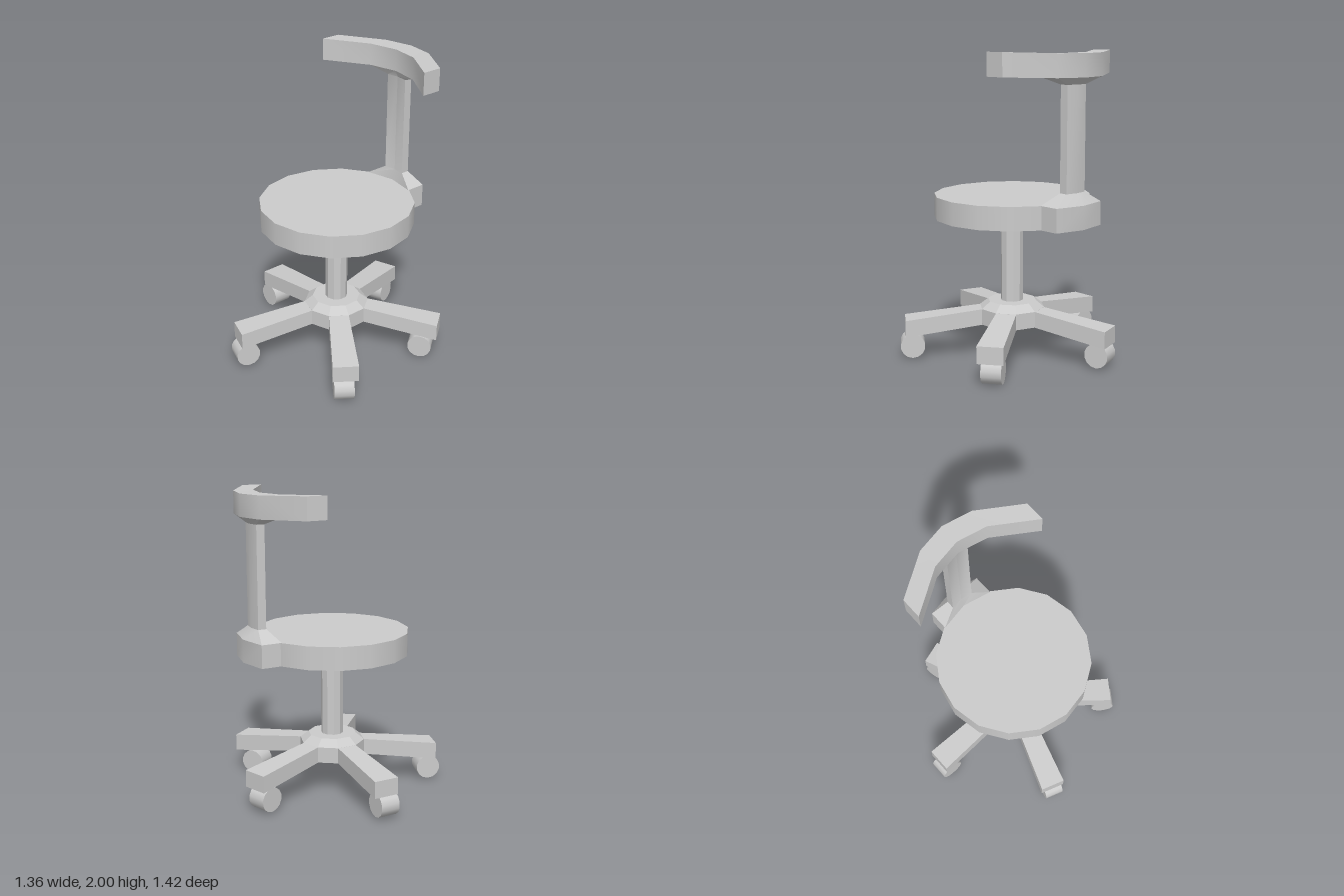
import * as THREE from 'three';
import { toCreasedNormals } from 'three/addons/utils/BufferGeometryUtils.js';

const smooth = new THREE.MeshStandardMaterial({ color: 0xcccccc });
const flat = new THREE.MeshStandardMaterial({ color: 0xcccccc, flatShading: true });

function part(name, geometry, material, parent) {
  const mesh = new THREE.Mesh(geometry, material);
  mesh.name = name;
  parent.add(mesh);
  return mesh;
}

// Ten-sided turned part from [radius, y] points, bottom to top
function turned(points) {
  return new THREE.LatheGeometry(points.map(([r, y]) => new THREE.Vector2(r, y)), 10);
}

// Skin over equal-sized rings of [x, y, z], closed at both ends
function loft(rings) {
  const pos = [];
  const quad = (a, b, c, d) => pos.push(...a, ...b, ...c, ...a, ...c, ...d);
  const n = rings[0].length;
  for (let k = 0; k < rings.length - 1; k++) {
    for (let i = 0; i < n; i++) {
      const j = (i + 1) % n;
      quad(rings[k][i], rings[k][j], rings[k + 1][j], rings[k + 1][i]);
    }
  }
  const first = rings[0], last = rings[rings.length - 1];
  for (let i = 0; i < n / 2 - 1; i++) {
    quad(last[i], last[i + 1], last[n - 2 - i], last[n - 1 - i]);
    quad(first[n - 1 - i], first[n - 2 - i], first[i + 1], first[i]);
  }
  const geo = new THREE.BufferGeometry();
  geo.setAttribute('position', new THREE.Float32BufferAttribute(pos, 3));
  return toCreasedNormals(geo, 0.5);
}

// Tapered leg running along +x and sloping down to its tip
function legGeometry() {
  const section = (x, y0, y1, h) => [[x, y1, -h], [x, y1, h], [x, y0, h], [x, y0, -h]];
  return loft([section(0.2, 0.22, 0.325, 0.066), section(0.705, 0.157, 0.268, 0.083)]);
}

export function createModel() {
  const model = new THREE.Group();
  model.name = 'swivelChair';
  const chair = new THREE.Group();
  chair.name = 'chair';
  chair.position.set(0.05, 0, -0.02);
  model.add(chair);

  // Base hub, column and plate under the seat
  part('hub', turned([[0, 0.22], [0.216, 0.22], [0.216, 0.325], [0.16, 0.37], [0, 0.37]]), flat, chair);
  part('column', turned([[0.074, 0.36], [0.074, 0.88]]), flat, chair);
  part('seatPlate', turned([[0.07, 0.86], [0.193, 0.878], [0.193, 0.935]]), flat, chair);

  // Seat
  const seat = part('seat', new THREE.CylinderGeometry(0.506, 0.506, 0.15, 16), smooth, chair);
  seat.position.y = 1.005;

  // Five legs, each with a caster: [angle in degrees, caster x, y, z]
  const leg = legGeometry();
  const wheel = new THREE.CylinderGeometry(0.08, 0.08, 0.128, 14).rotateX(Math.PI / 2);
  const feet = [
    [180, -0.655, 0.092, 0.016],
    [108, -0.198, 0.09, 0.629],
    [36, 0.527, 0.088, 0.395],
    [-36, 0.48, 0.08, -0.343],
    [-108, -0.209, 0.09, -0.595],
  ];
  for (const [deg, x, y, z] of feet) {
    const turn = -THREE.MathUtils.degToRad(deg);
    part('leg', leg, flat, chair).rotation.y = turn;
    const caster = part('caster', wheel, smooth, chair);
    caster.position.set(x, y, z);
    caster.rotation.y = turn;
  }

  // Back bracket and post: curved sections stacked in y
  const wide = { w: 0.195, inner: [-0.46, -0.5], outer: [-0.595, -0.635] };
  const slim = { w: 0.08, inner: [-0.51, -0.52], outer: [-0.565, -0.578] };
  const section = ({ w, inner: [si, mi], outer: [so, mo] }, y) => [
    [-w, y, si], [0, y, mi], [w, y, si], [w, y, so], [0, y, mo], [-w, y, so],
  ];
  part('backPost', loft([
    section(wide, 0.93), section(wide, 1.08), section(slim, 1.15),
    section(slim, 1.805), section(wide, 1.85),
  ]), smooth, chair);

  // Curved backrest: [x, inner z, outer z, bottom y, top y] along the arc
  const arc = [
    [-0.465, -0.28, -0.415, 1.856, 2],
    [-0.195, -0.46, -0.595, 1.849, 1.992],
    [0, -0.5, -0.635, 1.848, 1.99],
    [0.195, -0.46, -0.595, 1.849, 1.992],
    [0.465, -0.28, -0.415, 1.856, 2],
  ];
  part('backrest', loft(arc.map(([x, zi, zo, y0, y1]) => [
    [x, y1, zo], [x, y1, zi], [x, y0, zi], [x, y0, zo],
  ])), smooth, chair);

  return model;
}
